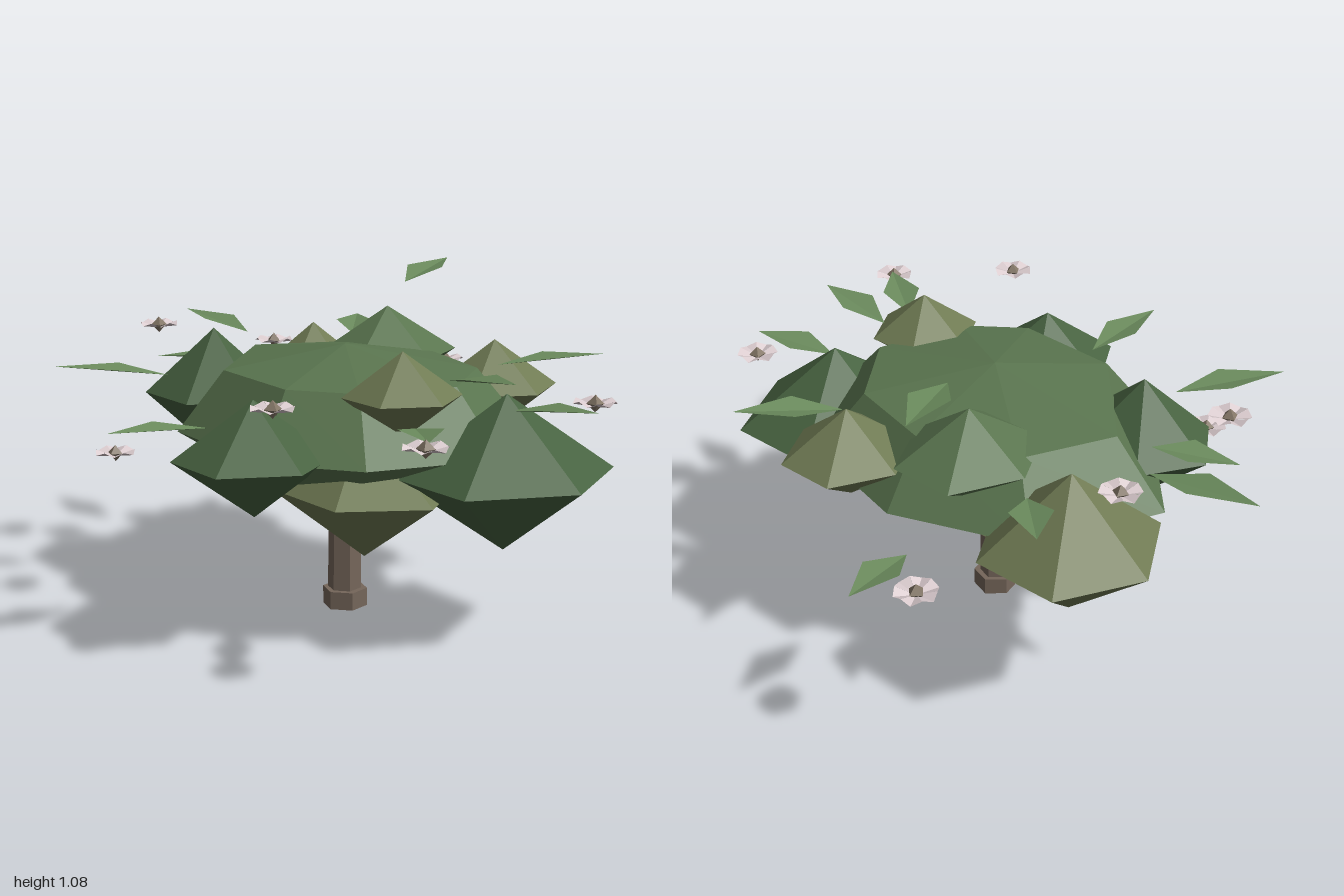
import * as THREE from 'three';

const mat = (color, side = THREE.FrontSide) =>
  new THREE.MeshStandardMaterial({ color, flatShading: true, side });
const V = (x, y, z) => new THREE.Vector3(x, y, z);

const bark = mat(0x75665a);
const mainGreen = mat(0x5a754f);
const darkGreen = mat(0x486341);
const olive = mat(0x707b54);
const leafGreen = mat(0x6a8a5c, THREE.DoubleSide);
const petalPink = mat(0xdccdd0, THREE.DoubleSide);
const budBrown = mat(0x857868);

function add(parent, name, geometry, material) {
  const mesh = new THREE.Mesh(geometry, material);
  mesh.name = name;
  parent.add(mesh);
  return mesh;
}

// Tapered limb between two points
function limb(parent, name, a, b, r0, r1) {
  const m = add(parent, name, new THREE.CylinderGeometry(r1, r0, a.distanceTo(b), 5), bark);
  m.position.copy(a).lerp(b, 0.5);
  m.quaternion.setFromUnitVectors(V(0, 1, 0), b.clone().sub(a).normalize());
}

// Dome above, cone below, with an outline of eight irregular points
function canopyGeometry(cx, cy, ry, outline) {
  const spread = [0, 0.72, 1, 0.2, 0];
  const height = [1, 0.72, 0, -0.98, -1];
  const geo = new THREE.SphereGeometry(1, 8, 4);
  const p = geo.attributes.position;
  for (let i = 0; i < p.count; i++) {
    const [x, z] = outline[(i % 9) % 8];
    const row = Math.floor(i / 9);
    p.setXYZ(i, cx + (x - cx) * spread[row], cy + height[row] * ry, z * spread[row]);
  }
  return geo;
}

// Kite-shaped leaf, folded along its midrib with raised edges
function leafGeometry(base, tip, halfWidth) {
  const dir = tip.clone().sub(base);
  const side = V(-dir.z, 0, dir.x).normalize().multiplyScalar(halfWidth);
  const mid = base.clone().addScaledVector(dir, 0.45);
  mid.y += 0.016;
  const l = mid.clone().sub(side), r = mid.clone().add(side);
  return new THREE.BufferGeometry().setFromPoints([base, tip, l, base, r, tip]);
}

// Six cupped petals in one geometry
function petalGeometry(radius) {
  const pts = [];
  const at = (a, r, y) => V(Math.cos(a) * r, y, Math.sin(a) * r);
  for (let i = 0; i < 6; i++) {
    const a = (i / 6) * Math.PI * 2;
    const inner = V(0, -0.01, 0);
    const l = at(a - 0.52, radius * 0.92, 0.012), r = at(a + 0.52, radius * 0.92, 0.012);
    const tip = at(a, radius, 0);
    pts.push(inner, tip, l, inner, r, tip);
  }
  return new THREE.BufferGeometry().setFromPoints(pts);
}

export function createModel() {
  const tree = new THREE.Group();
  tree.name = 'tree';

  // Trunk, foot and branches
  const foot = add(tree, 'trunkFoot', new THREE.CylinderGeometry(0.074, 0.074, 0.06, 6), bark);
  foot.position.set(0.073, 0.03, 0);
  foot.rotation.y = 0.2;
  const trunk = add(tree, 'trunk', new THREE.CylinderGeometry(0.052, 0.056, 0.42, 6), bark);
  trunk.position.set(0.07, 0.24, 0);
  trunk.rotation.y = 0.2;
  [[-0.14, 0.44, 0.03], [0.27, 0.43, 0.1], [0.05, 0.45, -0.24]].forEach((end) =>
    limb(tree, 'branch', V(0.07, 0.22, 0), V(...end), 0.026, 0.018));

  // Main canopy
  add(tree, 'canopy', canopyGeometry(0.07, 0.61, 0.272, [
    [-0.62, 0], [-0.2, 0.47], [0.3, 0.5], [0.56, 0.31],
    [0.7, -0.1], [0.45, -0.45], [0.02, -0.56], [-0.42, -0.4],
  ]), mainGreen);

  // Faceted foliage clumps: x, y, z, half width, half height, half depth, material
  [
    [0.65, 0.55, -0.16, 0.315, 0.245, 0.36, darkGreen],
    [-0.49, 0.6, -0.3, 0.29, 0.245, 0.3, olive],
    [-0.13, 0.79, -0.345, 0.22, 0.155, 0.25, mainGreen],
    [0.245, 0.71, -0.495, 0.205, 0.155, 0.22, olive],
    [0.5, 0.8, 0.125, 0.18, 0.135, 0.185, olive],
    [0.265, 0.62, 0.5, 0.24, 0.18, 0.25, darkGreen],
    [-0.37, 0.68, 0.21, 0.25, 0.215, 0.225, darkGreen],
    [0.32, 0.48, 0.12, 0.32, 0.225, 0.28, olive],
    [-0.16, 0.47, -0.1, 0.24, 0.18, 0.24, olive],
  ].forEach(([x, y, z, w, h, d, m]) => {
    const clump = add(tree, 'foliageClump', new THREE.SphereGeometry(1, 6, 2), m);
    clump.position.set(x, y, z);
    clump.scale.set(w, h, d);
  });

  // Loose leaves: base point, tip point
  [
    [-0.11, 0.545, -0.61, -0.16, 0.58, -0.9],
    [-0.08, 1.03, -0.38, -0.21, 1.075, -0.69],
    [0.33, 0.8, -0.43, 0.535, 0.835, -0.705],
    [-0.43, 0.8, -0.43, -0.61, 0.83, -0.6],
    [-0.63, 0.81, -0.11, -1, 0.85, -0.09],
    [-0.5, 0.76, 0.08, -0.75, 0.74, 0.2],
    [-0.36, 0.76, 0.4, -0.58, 0.79, 0.7],
    [0.1, 0.69, 0.55, 0.085, 0.72, 0.89],
    [0.69, 0.755, 0.24, 0.93, 0.785, 0.4],
    [0.58, 0.845, 0.01, 0.88, 0.885, 0.03],
    [0.68, 0.75, -0.14, 0.96, 0.78, -0.23],
  ].forEach(([x0, y0, z0, x1, y1, z1]) =>
    add(tree, 'leaf', leafGeometry(V(x0, y0, z0), V(x1, y1, z1), 0.066), leafGreen));

  // Flowers with a small bud in the middle
  [
    [-0.37, 0.665, -0.835], [0.845, 0.775, -0.335], [-0.595, 0.775, -0.2],
    [-0.675, 0.868, 0.235], [-0.355, 0.53, 0.61], [0.53, 0.835, 0.62], [0.93, 0.77, 0.41],
  ].forEach((pos, i) => {
    const flower = new THREE.Group();
    flower.name = 'flower';
    flower.position.set(...pos);
    flower.rotation.y = i * 0.9;
    add(flower, 'petals', petalGeometry(0.068), petalPink);
    add(flower, 'bud', new THREE.OctahedronGeometry(0.027), budBrown);
    tree.add(flower);
  });

  tree.traverse((o) => { if (o.isMesh) o.geometry.computeVertexNormals(); });
  return tree;
}
